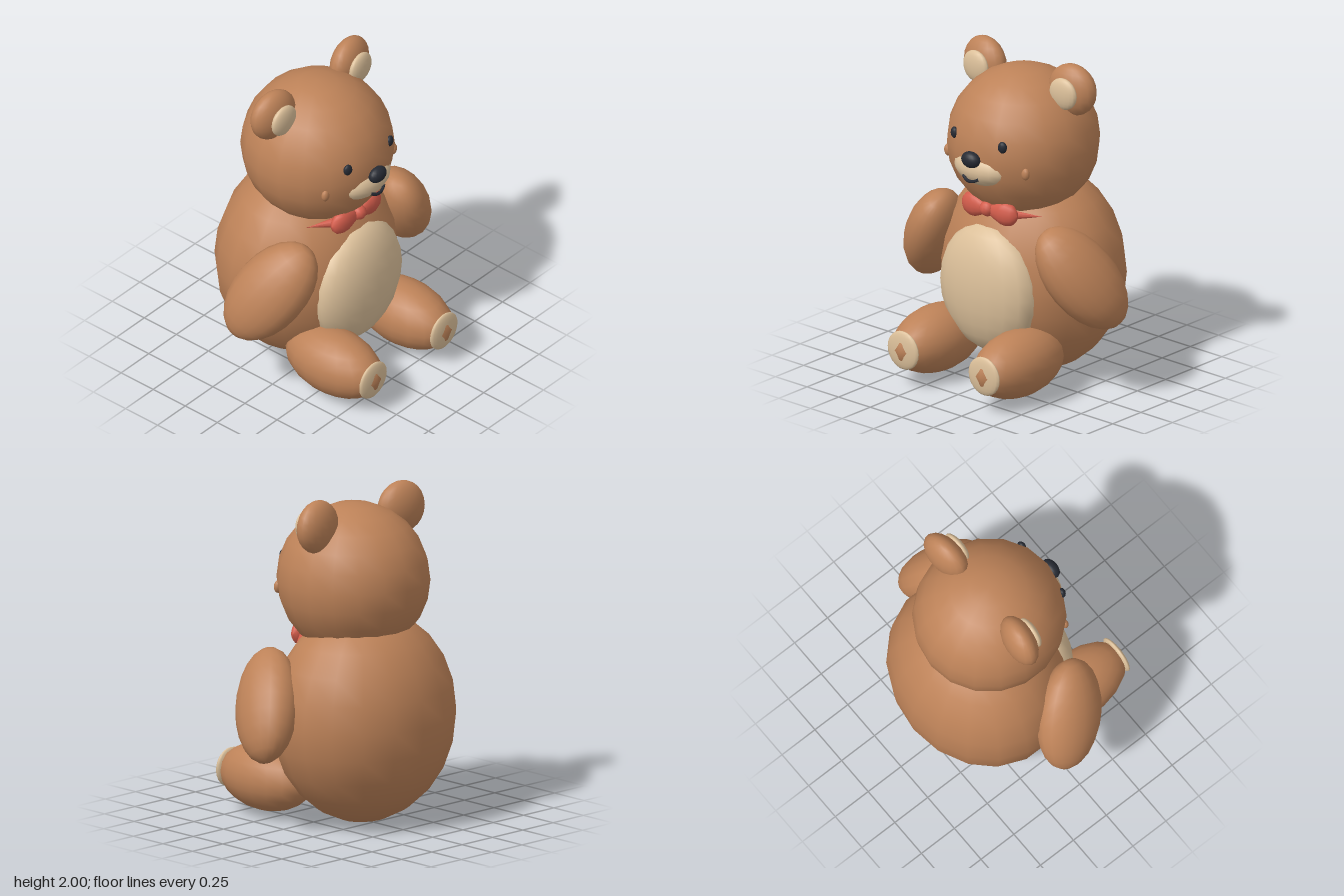
import * as THREE from 'three';

const mat = (name, color) => {
  const m = new THREE.MeshStandardMaterial({ color });
  m.name = name;
  return m;
};

export function createModel() {
  const fur = mat('brown fur', 0xbd8258);
  const cream = mat('cream plush', 0xdcc09a);
  const dark = mat('dark button', 0x262a33);
  const red = mat('red ribbon', 0xd45d4c);

  const model = new THREE.Group();
  model.name = 'teddyBear';

  // Shared ball with a vertex on the z axis; scaled into every plush part
  const ball = new THREE.SphereGeometry(1, 18, 12).rotateY(Math.PI / 2);
  const smallBall = new THREE.SphereGeometry(1, 12, 8).rotateY(Math.PI / 2);

  const add = (parent, name, geometry, material, pos = [0, 0, 0], scale = [1, 1, 1], rot = [0, 0, 0]) => {
    const mesh = new THREE.Mesh(geometry, material);
    mesh.name = name;
    mesh.position.set(...pos);
    mesh.scale.set(...scale);
    mesh.rotation.set(...rot);
    parent.add(mesh);
    return mesh;
  };

  // Torso and head
  add(model, 'body', ball, fur, [0, 0.645, -0.17], [0.593, 0.645, 0.503]);
  add(model, 'tummyPatch', ball, cream, [0, 0.605, 0.22], [0.36, 0.395, 0.18]);
  add(model, 'head', ball, fur, [0, 1.46, -0.08], [0.456, 0.46, 0.458]);

  // Face
  add(model, 'muzzle', ball, cream, [0, 1.38, 0.28], [0.2, 0.108, 0.12]);
  add(model, 'nose', ball, dark, [0, 1.455, 0.388], [0.066, 0.05, 0.043]);
  const smile = new THREE.CatmullRomCurve3([
    new THREE.Vector3(-0.06, 1.343, 0.385),
    new THREE.Vector3(-0.03, 1.327, 0.397),
    new THREE.Vector3(0, 1.322, 0.4),
    new THREE.Vector3(0.03, 1.327, 0.397),
    new THREE.Vector3(0.06, 1.343, 0.385),
  ]);
  add(model, 'mouth', new THREE.TubeGeometry(smile, 12, 0.01, 6), dark);

  // Bow tie knot, and profile of a loop that narrows toward the knot
  add(model, 'bowKnot', smallBall, red, [0, 1.105, 0.24], [0.048, 0.048, 0.048]);
  const loopProfile = [
    [0, 0], [0.032, 0.02], [0.052, 0.06], [0.07, 0.1], [0.074, 0.14], [0.062, 0.18], [0.035, 0.205], [0, 0.215],
  ].map(([r, y]) => new THREE.Vector2(r, y));
  const loop = new THREE.LatheGeometry(loopProfile, 14).rotateZ(-Math.PI / 2);
  const tail = new THREE.ConeGeometry(0.03, 0.18, 8).rotateZ(-Math.PI / 2);

  // Paired parts, mirrored across x
  for (const [side, sx] of [['left', 1], ['right', -1]]) {
    const half = new THREE.Group();
    half.name = side + 'Side';
    half.scale.x = sx;
    model.add(half);
    const part = (name, ...rest) => add(half, side + name, ...rest);

    part('Ear', ball, fur, [0.345, 1.84, -0.13], [0.163, 0.16, 0.09], [0, 0.12, 0]);
    part('InnerEar', ball, cream, [0.345, 1.835, -0.045], [0.1, 0.098, 0.036], [0, 0.05, 0]);
    part('Eye', smallBall, dark, [0.19, 1.56, 0.32], [0.029, 0.036, 0.02], [0, 0.3, 0]);
    part('Cheek', smallBall, fur, [0.305, 1.4, 0.245], [0.028, 0.038, 0.022]);

    part('Arm', ball, fur, [0.58, 0.76, 0.055], [0.166, 0.368, 0.222], [0.5, 0, 0.47]);
    part('Leg', ball, fur, [0.32, 0.232, 0.325], [0.197, 0.202, 0.342]);
    part('FootPad', ball, cream, [0.32, 0.235, 0.628], [0.121, 0.12, 0.027]);

    part('BowLoop', loop, red, [0, 1.097, 0.24], [1, 1, 0.6], [0, 0.12, 0]);
    part('BowTail', tail, red, [0.225, 1.085, 0.138], [1, 1, 1], [0, 0.55, 0]);
  }

  return model;
}
